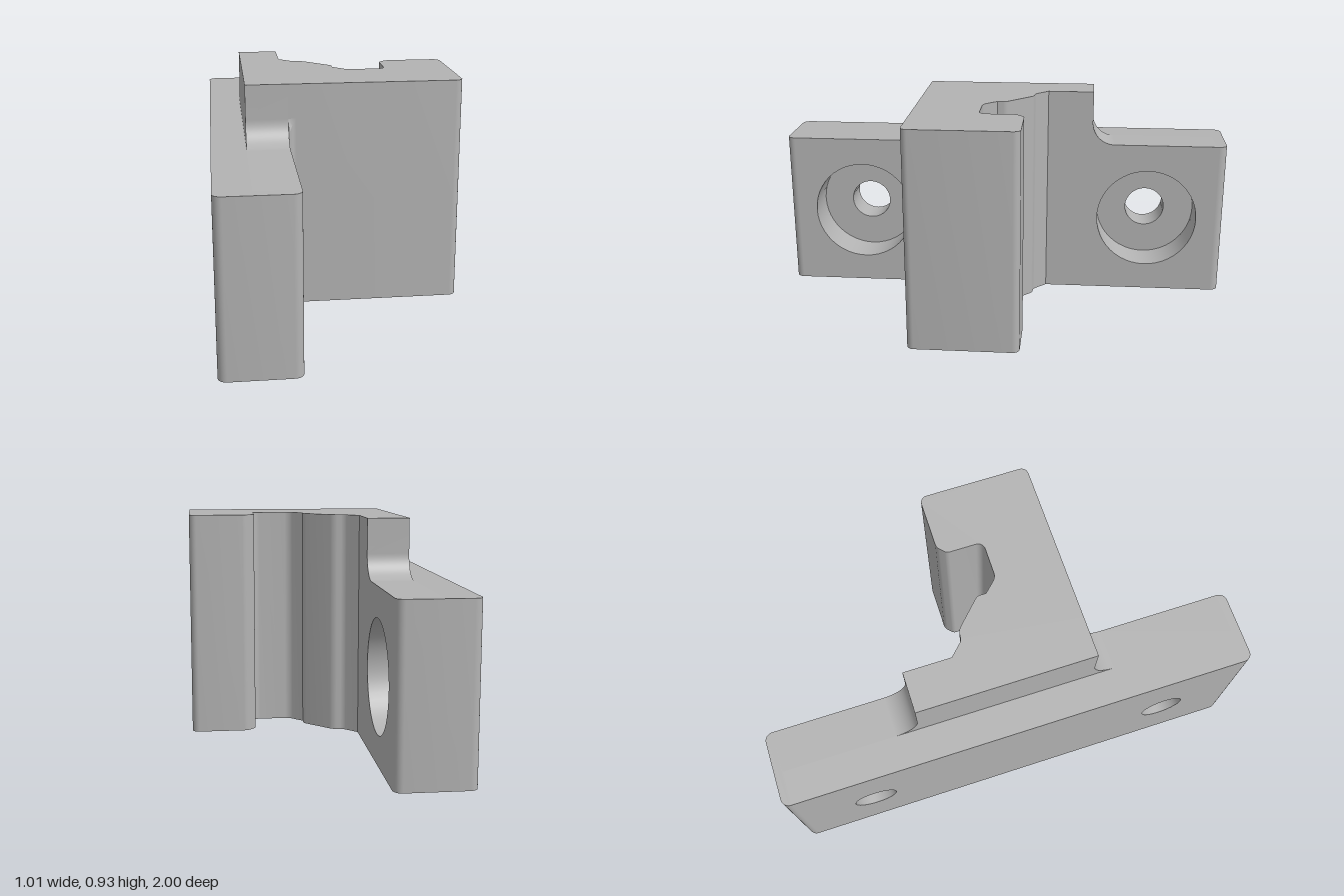
import * as THREE from 'three';
import { toCreasedNormals } from 'three/addons/utils/BufferGeometryUtils.js';

const BACK = -0.51, STEP = -0.37, FACE = -0.2; // plate depth levels in x
const PLATE_H = 0.69, BLOCK_H = 0.93, ROUND = 0.035;
const HOLE_Z = 0.655, HOLE_Y = 0.345;
const RISE_F = 0.345, RISE_B = -0.4, FILLET = 0.1; // riser ends in z

// Closed outline in plan from [x, z, cornerRadius]; z is stored negated
function planShape(points) {
  const shape = new THREE.Shape();
  const p = points.map(([x, z]) => new THREE.Vector2(x, -z));
  p.forEach((c, i) => {
    const r = points[i][2] || 0;
    const prev = p[(i + p.length - 1) % p.length], next = p[(i + 1) % p.length];
    const a = prev.clone().sub(c).setLength(r).add(c);
    const b = next.clone().sub(c).setLength(r).add(c);
    if (i === 0) shape.moveTo(a.x, a.y); else shape.lineTo(a.x, a.y);
    if (r) shape.bezierCurveTo(a.x + (c.x - a.x) * 0.55, a.y + (c.y - a.y) * 0.55,
      b.x + (c.x - b.x) * 0.55, b.y + (c.y - b.y) * 0.55, b.x, b.y);
  });
  shape.closePath();
  return shape;
}

// Smooth the rounds only; scaled up so that small corners stay distinct
function crease(geo) {
  geo.scale(100, 100, 100);
  const out = toCreasedNormals(geo, 0.4);
  return out.scale(0.01, 0.01, 0.01);
}

const extrude = (shape, depth, curveSegments) =>
  new THREE.ExtrudeGeometry(shape, { depth, curveSegments, bevelEnabled: false });

// Plan outline raised along y
const raise = (shape, height) => extrude(shape, height, 8).rotateX(-Math.PI / 2);

// Side outline (-z, y) swept along x
const sweepX = (shape, x0, x1) =>
  crease(extrude(shape, x1 - x0, 24).rotateY(Math.PI / 2).translate(x0, 0, 0));

function addHoles(shape, radius) {
  for (const s of [-1, 1]) {
    const hole = new THREE.Path();
    hole.absarc(s * HOLE_Z, HOLE_Y, radius, 0, Math.PI * 2, true);
    shape.holes.push(hole);
  }
  return shape;
}

export function createModel() {
  const group = new THREE.Group();
  const grey = new THREE.MeshStandardMaterial({ color: 0xb3b3b3 });
  grey.name = 'grey';
  const add = (name, geo) => {
    const mesh = new THREE.Mesh(geo, grey);
    mesh.name = name;
    group.add(mesh);
  };
  const end = 1 - ROUND;

  // Back layer of the plate with the bolt holes
  const back = new THREE.Shape();
  back.moveTo(-end, 0).lineTo(end, 0).lineTo(end, PLATE_H).lineTo(-end, PLATE_H).closePath();
  add('plateBack', sweepX(addHoles(back, 0.09), BACK, STEP));

  // Front layer with counterbores, rising in two fillets to the block height
  const front = new THREE.Shape();
  const cy = PLATE_H + FILLET;
  front.moveTo(-end, 0).lineTo(end, 0).lineTo(end, PLATE_H);
  front.lineTo(-RISE_B + FILLET, PLATE_H);
  front.absarc(-RISE_B + FILLET, cy, FILLET, -Math.PI / 2, -Math.PI, true);
  front.lineTo(-RISE_B, BLOCK_H).lineTo(-RISE_F, BLOCK_H);
  front.lineTo(-RISE_F, cy);
  front.absarc(-RISE_F - FILLET, cy, FILLET, 0, -Math.PI / 2, true);
  front.lineTo(-end, PLATE_H).closePath();
  add('plateFront', sweepX(addHoles(front, 0.225), STEP, FACE));

  // Rounded plate ends
  for (const s of [-1, 1]) {
    const cap = planShape([
      [BACK, s * end], [BACK, s, ROUND - 0.001], [FACE, s, ROUND - 0.001], [FACE, s * end],
    ]);
    add(s > 0 ? 'plateEndFront' : 'plateEndBack', crease(raise(cap, PLATE_H)));
  }

  // Hooked block with the stepped channel
  add('hookBlock', crease(raise(planShape([
    [FACE, RISE_F], [FACE, -0.2], [-0.145, -0.145, 0.012], [-0.1, -0.14, 0.015],
    [0.015, -0.028, 0.012], [0.015, 0.01], [0.07, 0.067, 0.018],
    [0.232, 0.067, 0.03], [0.232, -0.085, 0.01], [0.268, -0.12, 0.015],
    [0.505, -0.12, 0.03], [0.505, RISE_F, 0.03],
  ]), BLOCK_H)));

  // Inner corner fillet, its top following the riser curve
  const r = 0.03;
  const corner = new THREE.Shape();
  corner.moveTo(FACE, -RISE_F).lineTo(FACE, -RISE_F - r);
  corner.absarc(FACE + r, -RISE_F - r, r, Math.PI, Math.PI / 2, true);
  corner.closePath();
  const geo = raise(corner, 1);
  const pos = geo.attributes.position;
  for (let i = 0; i < pos.count; i++) {
    if (pos.getY(i) < 0.5) continue;
    const d = RISE_F + FILLET - pos.getZ(i);
    pos.setY(i, cy - Math.sqrt(Math.max(0, FILLET * FILLET - d * d)));
  }
  add('cornerFillet', crease(geo));

  return group;
}
